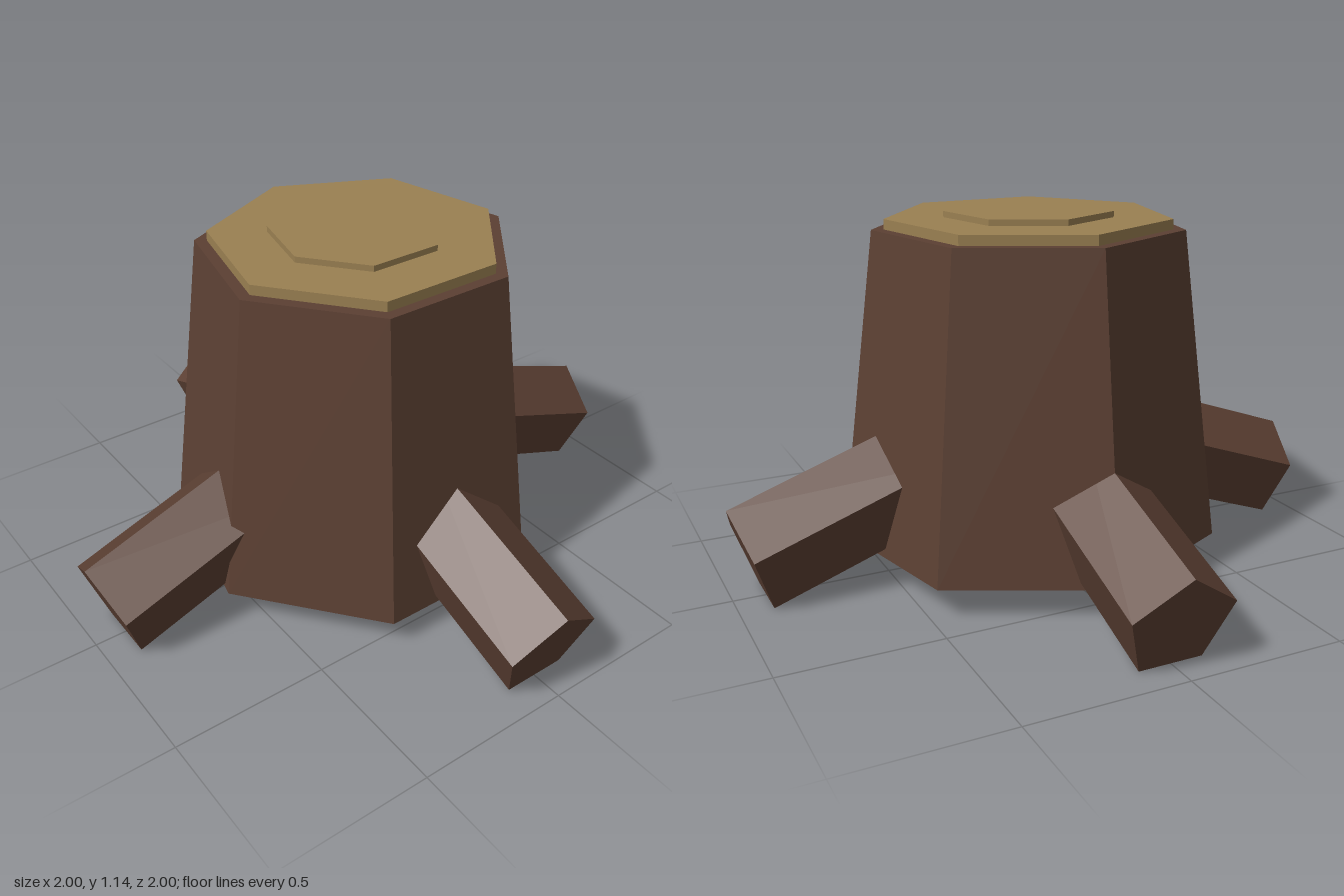
import * as THREE from 'three';

export function createModel() {
  const model = new THREE.Group();
  model.name = 'treeStump';

  const bark = new THREE.MeshStandardMaterial({ color: 0x5c4033, flatShading: true });
  bark.name = 'bark brown';
  const wood = new THREE.MeshStandardMaterial({ color: 0x9a8052, flatShading: true });
  wood.name = 'cut wood tan';

  // Seven-sided tapered block with one corner pointing to the back
  function heptagon(name, rTop, rBottom, y0, y1, material) {
    const geometry = new THREE.CylinderGeometry(rTop, rBottom, y1 - y0, 7, 1, false, Math.PI);
    const mesh = new THREE.Mesh(geometry, material);
    mesh.name = name;
    mesh.position.y = (y0 + y1) / 2;
    model.add(mesh);
  }

  heptagon('trunk', 0.494, 0.615, 0.1, 1.09, bark);
  heptagon('cutSurface', 0.455, 0.455, 1.08, 1.122, wood);
  heptagon('growthRing', 0.27, 0.27, 1.11, 1.141, wood);

  // Four five-sided roots, ridge upwards, sloping down and outwards
  const tilt = 0.337, length = 0.66;
  const rootGeometry = new THREE.CylinderGeometry(0.173, 0.173, length, 5, 1, false, Math.PI);
  rootGeometry.rotateX(Math.PI / 2); // axis to +z, ridge to +y
  rootGeometry.translate(0, 0, -length / 2); // outer end at the origin
  rootGeometry.rotateX(tilt);

  ['front', 'left', 'back', 'right'].forEach((side, i) => {
    const pivot = new THREE.Group();
    pivot.name = side + 'Root';
    const root = new THREE.Mesh(rootGeometry, bark);
    root.name = side + 'RootBark';
    root.position.set(0, 0.137, 0.943);
    pivot.rotation.y = i * Math.PI / 2;
    pivot.add(root);
    model.add(pivot);
  });

  return model;
}
